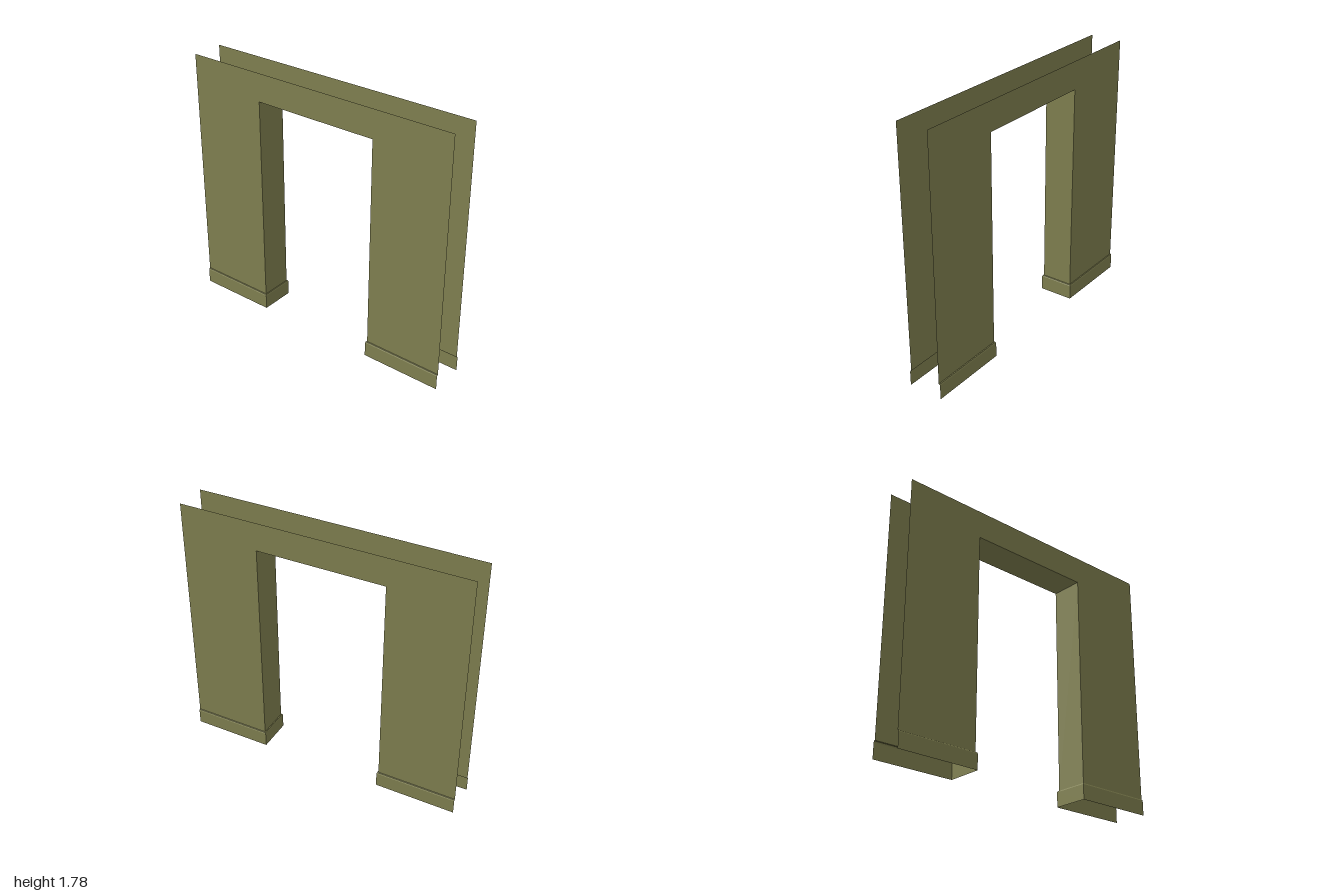
import * as THREE from 'three';

const HALF = 1, TOP = 1.78;           // wall extent
const DOOR_X = 0.446, DOOR_Y = 1.585; // opening
const DEPTH = 0.112;                  // half thickness
const BASE_Y = 0.112;                 // top of the skirting

// Sweeps a profile of [outward offset, y] around one leg: front, jamb, back.
function skirtingGeometry(profile) {
  const pos = [];
  const path = (o) => [
    [HALF, DEPTH + o], [DOOR_X - o, DEPTH + o],
    [DOOR_X - o, -DEPTH - o], [HALF, -DEPTH - o],
  ];
  for (let i = 0; i < profile.length - 1; i++) {
    const [o0, y0] = profile[i], [o1, y1] = profile[i + 1];
    const low = path(o0), high = path(o1);
    for (let j = 0; j < 3; j++) {
      const a = [low[j][0], y0, low[j][1]], b = [low[j + 1][0], y0, low[j + 1][1]];
      const c = [high[j + 1][0], y1, high[j + 1][1]], d = [high[j][0], y1, high[j][1]];
      pos.push(...a, ...c, ...b, ...a, ...d, ...c);
    }
  }
  const geo = new THREE.BufferGeometry();
  geo.setAttribute('position', new THREE.Float32BufferAttribute(pos, 3));
  geo.computeVertexNormals();
  return geo;
}

export function createModel() {
  const model = new THREE.Group();
  model.name = 'doorwayWall';
  const olive = new THREE.MeshStandardMaterial({ color: 0x808050, side: THREE.DoubleSide });
  olive.name = 'olive';

  const add = (name, geo, parent = model) => {
    const mesh = new THREE.Mesh(geo, olive);
    mesh.name = name;
    parent.add(mesh);
    return mesh;
  };

  // Front and back wall faces, with the doorway cut out
  const outline = new THREE.Shape([
    [-HALF, BASE_Y], [-DOOR_X, BASE_Y], [-DOOR_X, DOOR_Y], [DOOR_X, DOOR_Y],
    [DOOR_X, BASE_Y], [HALF, BASE_Y], [HALF, TOP], [-HALF, TOP],
  ].map(([x, y]) => new THREE.Vector2(x, y)));
  const face = new THREE.ShapeGeometry(outline);
  add('frontWall', face).position.z = DEPTH;
  const back = add('backWall', face);
  back.position.z = -DEPTH;
  back.rotation.y = Math.PI;

  // Underside of the lintel
  const soffit = add('soffit', new THREE.PlaneGeometry(2 * DOOR_X, 2 * DEPTH));
  soffit.rotation.x = Math.PI / 2;
  soffit.position.y = DOOR_Y;

  // Door jambs and skirtings, open at the outer ends
  const jambGeo = new THREE.PlaneGeometry(2 * DEPTH, DOOR_Y - BASE_Y);
  const skirting = skirtingGeometry([
    [0.01, 0], [0.01, 0.102], [0.006, 0.11], [0, BASE_Y],
  ]);
  for (const [side, turn] of [['left', 0], ['right', Math.PI]]) {
    const leg = new THREE.Group();
    leg.name = side + 'Leg';
    leg.rotation.y = turn;
    const jamb = add(side + 'Jamb', jambGeo, leg);
    jamb.position.set(DOOR_X, (DOOR_Y + BASE_Y) / 2, 0);
    jamb.rotation.y = -Math.PI / 2;
    add(side + 'Skirting', skirting, leg);
    model.add(leg);
  }
  return model;
}
